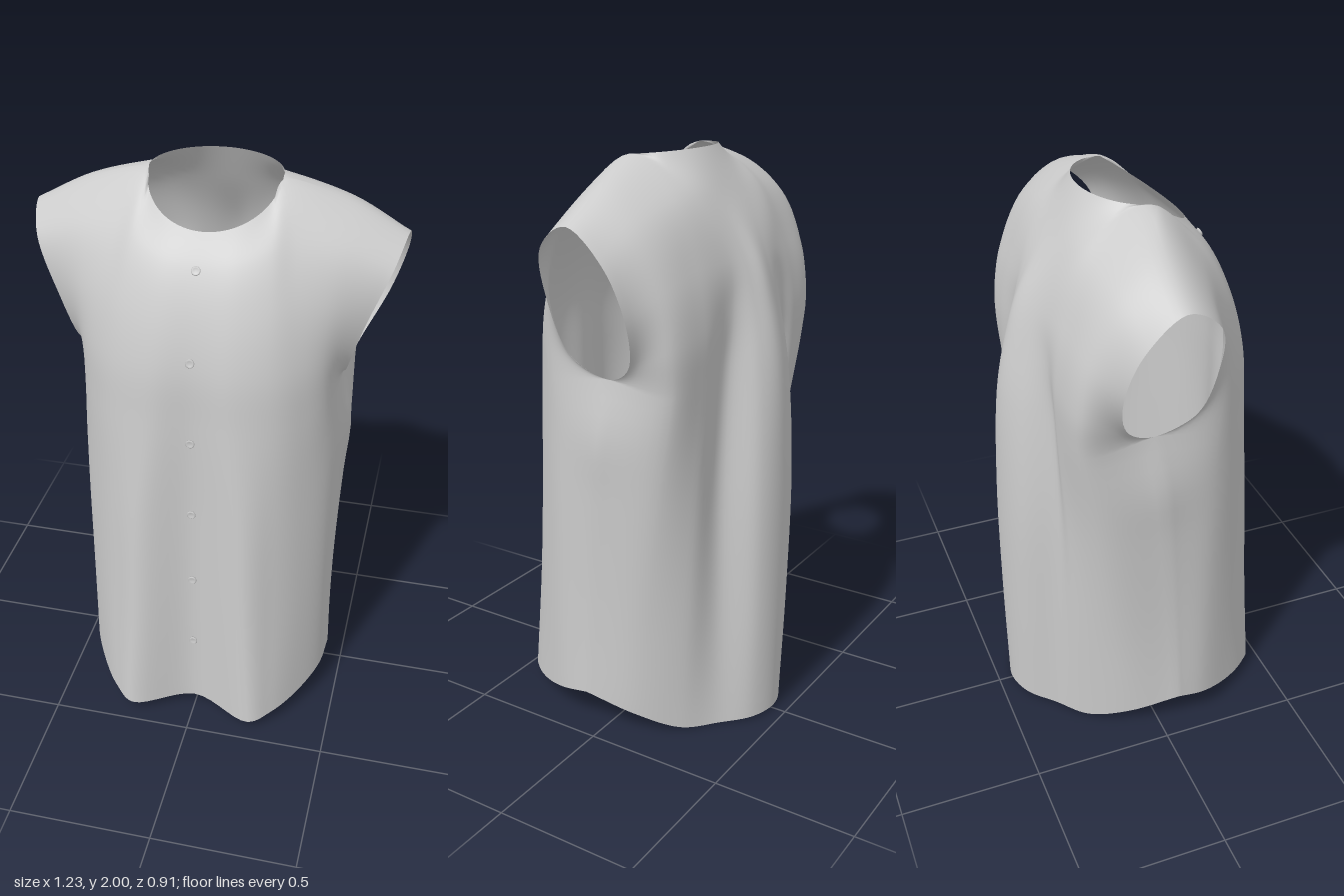
import * as THREE from 'three';
import { mergeGeometries, mergeVertices } from 'three/addons/utils/BufferGeometryUtils.js';

const ROWS = 7, FINE = 7;   // control rows from hem to shoulder, subdivisions per span
const UNDERARM = 3;         // control row where the side seam meets the armhole

const spline = (pts, closed = false) =>
  new THREE.CatmullRomCurve3(pts.map(p => p.isVector3 ? p : new THREE.Vector3(...p)), closed);

// Shared edges of the left half: side seam, shoulder seam and armhole loop
const underarm = [.44, 1.31, -.05];
const neckSide = [.215, 1.987, .015], shoulder = [.42, 1.92, -.02], tip = [.612, 1.82, -.03];
const seam = spline([
  [.452, .135, .06], [.448, .33, .05], [.448, .525, .035], [.453, .72, .02],
  [.461, .915, 0], [.472, 1.11, -.02], underarm,
]);
const shoulderSeam = spline([neckSide, shoulder, tip]);
const armhole = spline([
  underarm, [.455, 1.37, .085], [.51, 1.56, .13], [.58, 1.74, .095],
  tip, [.605, 1.71, -.155], [.555, 1.53, -.2], [.475, 1.365, -.15],
], true);

// Lengthwise curves of the left half, centre outwards, each from hem to neck or shoulder
const front = {
  neck: 3, rise: -.127, depth: .19, wide: 0, back: false,
  lines: [
    [[0, .045, .37], [0, .45, .37], [0, .9, .37], [0, 1.25, .372], [0, 1.45, .367], [0, 1.62, .33], [0, 1.76, .272], [0, 1.86, .205]],
    [[.22, .036, .454], [.195, .45, .432], [.175, .9, .412], [.14, 1.25, .39], [.13, 1.45, .374], [.125, 1.625, .329], [.12, 1.775, .262], [.1075, 1.877, .18]],
    [[.295, .05, .4], [.285, .45, .375], [.275, .9, .36], [.26, 1.25, .352], [.245, 1.455, .342], [.235, 1.65, .293], [.22, 1.812, .213], [.186, 1.923, .11]],
    [[.37, .07, .3], [.365, .45, .29], [.355, .9, .285], [.34, 1.25, .29], [.325, 1.46, .29], [.305, 1.675, .245], [.28, 1.85, .15], neckSide],
    [[.437, .11, .17], [.434, .45, .17], [.43, .9, .17], [.415, 1.27, .185], [.405, 1.45, .21], [.415, 1.64, .19], [.43, 1.81, .115], shoulder],
  ],
};
const back = {
  neck: 3, rise: .013, depth: -.16, wide: .55, back: true,
  lines: [
    [[0, .012, -.45], [0, .45, -.455], [0, .9, -.453], [0, 1.3, -.433], [0, 1.5, -.395], [0, 1.66, -.345], [0, 1.86, -.225], [0, 2, -.145]],
    [[.1, .008, -.42], [.1, .45, -.425], [.1, .9, -.42], [.08, 1.3, -.4], [.065, 1.5, -.37], [.06, 1.66, -.328], [.09, 1.86, -.223], [.1075, 1.998, -.124]],
    [[.19, 0, -.33], [.18, .45, -.32], [.17, .9, -.312], [.15, 1.3, -.315], [.135, 1.5, -.322], [.13, 1.66, -.308], [.175, 1.865, -.213], [.186, 1.993, -.065]],
    [[.3, .01, -.24], [.305, .45, -.27], [.305, .9, -.297], [.3, 1.3, -.325], [.3, 1.48, -.325], [.295, 1.66, -.29], [.28, 1.865, -.193], neckSide],
    [[.4, .075, -.11], [.405, .45, -.15], [.42, .9, -.215], [.435, 1.28, -.285], [.455, 1.44, -.295], [.46, 1.62, -.27], [.455, 1.815, -.175], shoulder],
  ],
};

// Lengthwise curves; the outer two run on over the shoulder so both panels meet smoothly
function lengthwise(panel, other) {
  const n = panel.lines.length;
  return panel.lines.map((line, i) => {
    if (i < n - 2) return t => spline(line).getPoint(t);
    const curve = spline([...line, other.lines[i][ROWS - 1]]);
    return t => curve.getPoint(t * ROWS / (ROWS + 1));
  });
}

// Lofts one panel across its lengthwise curves, mirrored about the centre
function panelGeometry(panel, other) {
  const { neck, rise, depth, wide } = panel;
  const curves = lengthwise(panel, other);
  const half = curves.length, rows = ROWS * FINE, cols = 2 * half * FINE;
  const pos = [], index = [];
  for (let j = 0; j <= rows; j++) {
    const k = j / FINE, t = j / rows;
    const left = curves.map(c => c(t));
    const arm = (k - UNDERARM) / (2 * (ROWS - UNDERARM));
    left.push(k <= UNDERARM ? seam.getPoint(k / UNDERARM) : armhole.getPoint(panel.back ? 1 - arm : arm));
    // The pleat in the back spreads further on the right, most at mid height
    const right = left.slice(1).map((p, i) =>
      new THREE.Vector3(-p.x * (i < 2 ? 1 + wide * Math.sin(Math.PI * t) : 1), p.y, p.z));
    const row = spline([...right.reverse(), ...left]);
    for (let i = 0; i <= cols; i++) {
      const s = i / FINE - half;
      let p = row.getPoint(i / cols);
      if (j === rows && Math.abs(s) >= neck) {   // shoulder seam
        p = shoulderSeam.getPoint((Math.abs(s) - neck) / 2);
        p.x *= Math.sign(s);
      } else if (j === rows) {                   // round neckline
        const a = s / neck * Math.PI / 2, c = Math.cos(a);
        p.set(neckSide[0] * Math.sin(a), neckSide[1] + rise * c, neckSide[2] + depth * c);
      }
      pos.push(p.x, p.y, p.z);
      if (i < cols && j < rows) {
        const a = j * (cols + 1) + i, b = a + 1, c = a + cols + 1, d = c + 1;
        index.push(...(panel.back ? [a, c, b, b, c, d] : [a, b, c, b, d, c]));
      }
    }
  }
  const g = new THREE.BufferGeometry();
  g.setAttribute('position', new THREE.Float32BufferAttribute(pos, 3));
  g.setIndex(index);
  return g;
}

export function createModel() {
  const model = new THREE.Group();
  model.name = 'sleevelessShirt';
  const material = new THREE.MeshStandardMaterial({ color: 0xcccccc, side: THREE.DoubleSide });

  // Cloth: both panels welded along side seams and shoulders
  const cloth = mergeVertices(mergeGeometries([panelGeometry(front, back), panelGeometry(back, front)]), 1e-4);
  cloth.computeVertexNormals();
  const body = new THREE.Mesh(cloth, material);
  body.name = 'shirtBody';
  model.add(body);

  // Buttons: short shank and dished head, set square to the front edge
  const profile = [[.006, .002], [.006, .01], [.014, .01], [.015, .015], [.012, .018], [.009, .015], [0, .015]];
  const buttonGeometry = new THREE.LatheGeometry(profile.map(p => new THREE.Vector2(...p)), 16).rotateX(Math.PI / 2);
  const centre = spline(front.lines[0]);
  for (const y of [.333, .62, .908, 1.198, 1.49, 1.76]) {
    let lo = 0, hi = 1;
    for (let n = 0; n < 30; n++) {
      const m = (lo + hi) / 2;
      if (centre.getPoint(m).y < y) lo = m; else hi = m;
    }
    const button = new THREE.Mesh(buttonGeometry, material);
    button.name = 'button';
    button.position.copy(centre.getPoint(lo));
    const d = centre.getTangent(lo);
    button.rotation.x = Math.atan2(d.z, d.y);
    model.add(button);
  }
  return model;
}
